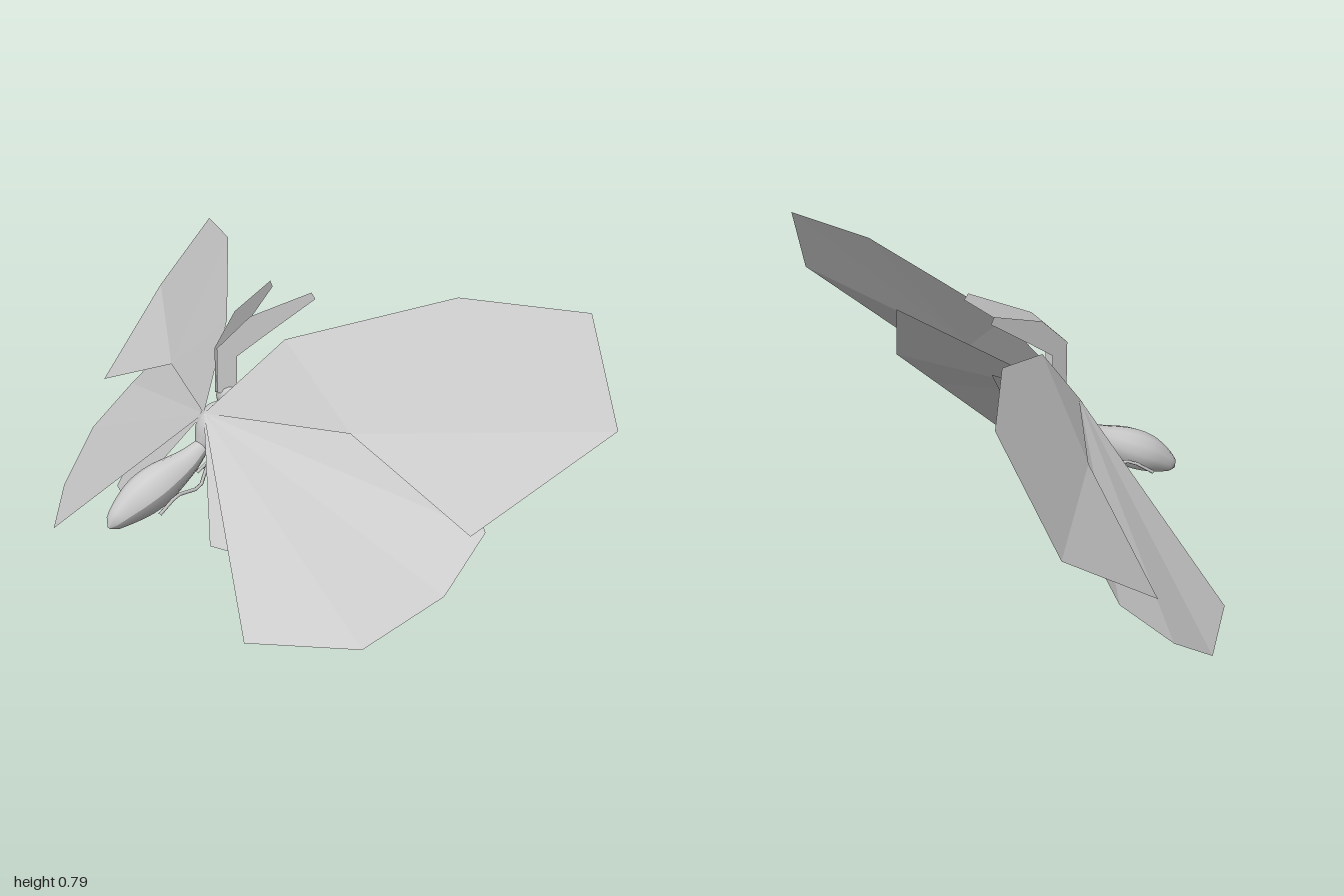
import * as THREE from 'three';

const grey = new THREE.MeshStandardMaterial({ color: 0xcccccc });
const thin = new THREE.MeshStandardMaterial({ color: 0xcccccc, side: THREE.DoubleSide, flatShading: true });
const V = (p) => new THREE.Vector3(...p);

function add(parent, name, geometry, material = grey) {
  const mesh = new THREE.Mesh(geometry, material);
  mesh.name = name;
  parent.add(mesh);
  return mesh;
}

// Thin sheet: triangles fanned out from the first point of an outline
function fan(points, side) {
  const flat = [];
  for (let i = 1; i < points.length - 1; i++) {
    for (const p of [points[0], points[i], points[i + 1]]) flat.push(p[0], p[1], p[2] * side);
  }
  const g = new THREE.BufferGeometry();
  g.setAttribute('position', new THREE.Float32BufferAttribute(flat, 3));
  g.computeVertexNormals();
  return g;
}

// Thin ribbon between two edges with the same number of points
function ribbon(a, b, side) {
  const flat = [];
  for (let i = 0; i < a.length - 1; i++) {
    for (const p of [a[i], b[i], a[i + 1], b[i], b[i + 1], a[i + 1]]) flat.push(p[0], p[1], p[2] * side);
  }
  const g = new THREE.BufferGeometry();
  g.setAttribute('position', new THREE.Float32BufferAttribute(flat, 3));
  g.computeVertexNormals();
  return g;
}

// Round body of changing radius: each section is [x, y, radius]
function sweep(sections, steps, sides) {
  const path = new THREE.CatmullRomCurve3(sections.map(([x, y]) => V([x, y, 0])), false, 'catmullrom');
  const radii = new THREE.CatmullRomCurve3(sections.map(([, , r]) => V([r, 0, 0])), false, 'catmullrom');
  const g = new THREE.TubeGeometry(path, steps, 1, sides);
  const pos = g.attributes.position;
  const v = new THREE.Vector3();
  for (let i = 0; i < pos.count; i++) {
    const u = Math.floor(i / (sides + 1)) / steps;
    const c = path.getPointAt(u);
    const r = radii.getPoint(path.getUtoTmapping(u)).x;
    v.fromBufferAttribute(pos, i).sub(c).multiplyScalar(r).add(c);
    pos.setXYZ(i, v.x, v.y, v.z);
  }
  g.computeVertexNormals();
  return g;
}

// Slender jointed limb made of straight segments
function limb(points, radius, side) {
  const path = new THREE.CurvePath();
  const p = points.map(([x, y, z]) => V([x, y, z * side]));
  for (let i = 0; i < p.length - 1; i++) path.add(new THREE.LineCurve3(p[i], p[i + 1]));
  return new THREE.TubeGeometry(path, 10, radius, 5);
}

const root = [-0.14, 0.43, 0];

const wings = {
  ForeWing: [[0.02, 0.45, 0.42], [0.037, 0.308, 0.85], [0.34, 0.543, 1.0], [0.418, 0.775, 0.825],
    [0.28, 0.775, 0.51], [0.025, 0.632, 0.135], root],
  HindWing: [root, [0.19, 0.535, 0.56], [0.115, 0.29, 0.815], [-0.02, 0.167, 0.83],
    [-0.18, 0.038, 0.73], [-0.346, 0.008, 0.485]],
  InnerWing: [root, [-0.005, 0.4, 0.305], [-0.09, 0.255, 0.41], [-0.21, 0.147, 0.35], [-0.262, 0.152, 0.21]],
};

const legs = {
  FrontLeg: [[-0.09, 0.41, 0.03], [-0.03, 0.39, 0.045], [-0.02, 0.34, 0.035], [-0.05, 0.3, 0.025]],
  MiddleLeg: [[-0.1, 0.38, 0.035], [-0.05, 0.34, 0.055], [-0.09, 0.28, 0.05], [-0.13, 0.25, 0.055]],
  HindLeg: [[-0.13, 0.35, 0.03], [-0.19, 0.25, 0.055], [-0.27, 0.25, 0.068], [-0.33, 0.212, 0.08]],
};

// Feelers stand in an upright plane that leans outwards
const feeler = (x, y) => [x, y, 0.02 + (x + 0.06) * 0.37];
const feelerTop = [[-0.1, 0.48], [-0.1, 0.6], [-0.015, 0.68], [0.14, 0.733]].map((p) => feeler(...p));
const feelerLow = [[-0.05, 0.48], [-0.05, 0.575], [0.02, 0.625], [0.15, 0.715]].map((p) => feeler(...p));

export function createModel() {
  const model = new THREE.Group();
  model.name = 'butterfly';

  // Slight roll and turn about the wing root
  const pivot = new THREE.Group();
  pivot.name = 'tilt';
  pivot.position.set(...root);
  pivot.rotation.set(-0.0165, -0.01, 0);
  model.add(pivot);
  const insect = new THREE.Group();
  insect.name = 'insect';
  insect.position.set(...root).negate();
  pivot.add(insect);

  // Body
  add(insect, 'abdomen', sweep([[-0.435, 0.174, 0.004], [-0.428, 0.181, 0.018], [-0.395, 0.204, 0.036],
    [-0.34, 0.236, 0.053], [-0.28, 0.266, 0.054], [-0.2, 0.305, 0.036], [-0.15, 0.34, 0.022]], 20, 12));
  add(insect, 'thorax', sweep([[-0.155, 0.335, 0.015], [-0.13, 0.36, 0.04], [-0.105, 0.393, 0.05],
    [-0.083, 0.428, 0.04], [-0.07, 0.45, 0.015]], 12, 12));
  const head = add(insect, 'head', new THREE.SphereGeometry(0.032, 12, 8));
  head.position.set(-0.063, 0.468, 0);
  add(insect, 'proboscis', limb([[-0.045, 0.46, 0], [-0.01, 0.44, 0], [-0.005, 0.41, 0], [-0.03, 0.4, 0]], 0.004, 1));

  // Paired parts
  for (const [side, label] of [[1, 'left'], [-1, 'right']]) {
    for (const [name, outline] of Object.entries(wings)) add(insect, label + name, fan(outline, side), thin);
    for (const [name, path] of Object.entries(legs)) add(insect, label + name, limb(path, 0.005, side));
    add(insect, label + 'Antenna', ribbon(feelerTop, feelerLow, side), thin);
    const eye = add(insect, label + 'Eye', new THREE.SphereGeometry(0.018, 10, 8));
    eye.position.set(-0.052, 0.474, 0.024 * side);
  }
  return model;
}
